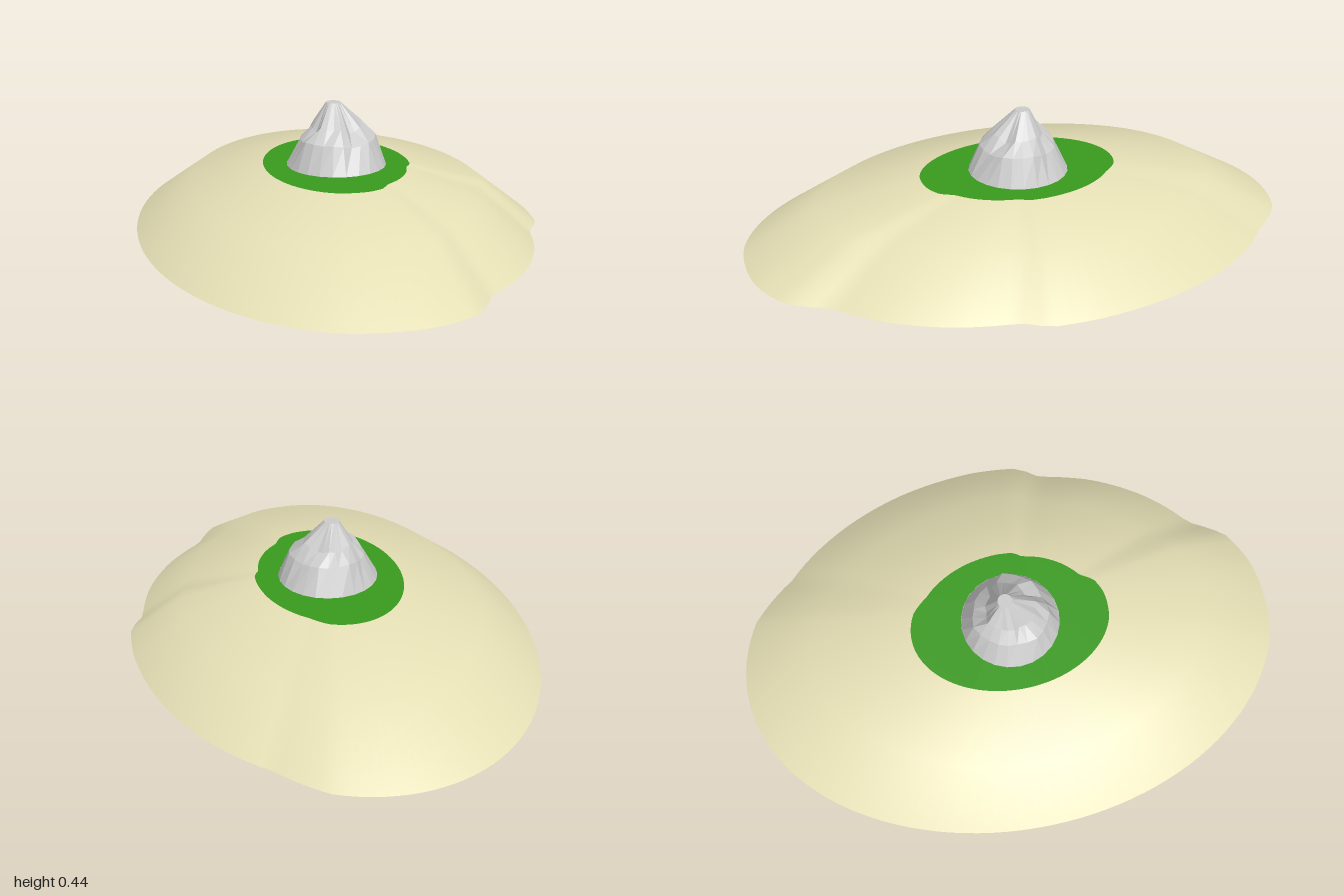
import * as THREE from 'three';

// Coastline: [angle in degrees, radius factor]; the +x shore is eroded
const coast = [
  [-180, 1], [-69, 1], [-54, 0.958], [-38, 0.971], [-18, 0.99], [0, 1], [10, 0.994], [15.5, 0.937],
  [28, 0.942], [42, 0.931], [59, 0.912], [68.5, 0.979], [80, 0.99], [92, 0.99], [105, 1], [180, 1],
];

function coastFactor(deg) {
  let i = 1;
  while (i < coast.length - 1 && coast[i][0] < deg) i++;
  const [a0, f0] = coast[i - 1], [a1, f1] = coast[i];
  return THREE.MathUtils.lerp(f0, f1, (deg - a0) / (a1 - a0));
}

// Island cross-section at height y
function islandRing(rx, rz, y, n = 120) {
  return Array.from({ length: n }, (_, i) => {
    const deg = -180 + (360 * i) / n, t = THREE.MathUtils.degToRad(deg), f = coastFactor(deg);
    return new THREE.Vector3(rx * f * Math.cos(t), y, rz * f * Math.sin(t));
  });
}

// Skin joining closed rings from bottom to top
function loft(rings) {
  const n = rings[0].length, index = [];
  for (let r = 0; r < rings.length - 1; r++) {
    for (let i = 0; i < n; i++) {
      const a = r * n + i, b = r * n + ((i + 1) % n);
      index.push(a, a + n, b, b, a + n, b + n);
    }
  }
  const g = new THREE.BufferGeometry().setFromPoints(rings.flat());
  g.setIndex(index);
  g.computeVertexNormals();
  return g;
}

function addMesh(group, name, geometry, color, options = {}) {
  const mat = new THREE.MeshStandardMaterial({ color, side: THREE.DoubleSide, ...options });
  const mesh = new THREE.Mesh(geometry, mat);
  mesh.name = name;
  group.add(mesh);
  return mesh;
}

export function createModel() {
  const island = new THREE.Group();
  island.name = 'island';
  const plateauY = 0.213;

  // Open sandy shell in two slopes
  const plateau = islandRing(0.262, 0.362, plateauY);
  addMesh(island, 'beach', loft([islandRing(0.718, 1, 0), islandRing(0.523, 0.73, 0.152), plateau]), 0xe5dfb5);

  // Flat grass plateau with a square opening under the peak
  const grass = new THREE.Shape(plateau.map((p) => new THREE.Vector2(p.x, -p.z)));
  const s = 0.09;
  grass.holes.push(new THREE.Path([[-s, -s], [-s, s], [s, s], [s, -s]].map(([x, y]) => new THREE.Vector2(x, y))));
  const grassGeo = new THREE.ShapeGeometry(grass).rotateX(-Math.PI / 2).translate(0, plateauY, 0);
  addMesh(island, 'grass', grassGeo, 0x3a9a1e);

  // Rocky peak: irregular faceted rings, leaning slightly back
  const profile = [[0.179, plateauY, 0, 0], [0.134, 0.308, 0.05, 0], [0.088, 0.35, 0.09, -0.004], [0.026, 0.435, 0, -0.02]];
  const sides = 24;
  const rings = profile.map(([r, y, rough, dz], k) => Array.from({ length: sides }, (_, i) => {
    const t = (i / sides) * Math.PI * 2;
    const w = rough * (Math.sin(3 * t + k) + 0.6 * Math.sin(7 * t + 2 * k));
    return new THREE.Vector3(r * (1 + w) * Math.cos(t) + dz * 0.4, y + 0.12 * w, r * (1 + w) * Math.sin(t) + dz);
  }));
  addMesh(island, 'peak', loft(rings), 0xcccccc, { flatShading: true });

  // Caps closing the peak's summit and base
  const summit = new THREE.CircleGeometry(0.026, sides).rotateX(-Math.PI / 2);
  addMesh(island, 'summit', summit, 0xcccccc).position.set(-0.008, 0.435, -0.02);
  const base = new THREE.CircleGeometry(0.178, sides).rotateX(Math.PI / 2);
  addMesh(island, 'peakBase', base, 0xcccccc).position.y = plateauY + 0.003;

  return island;
}
